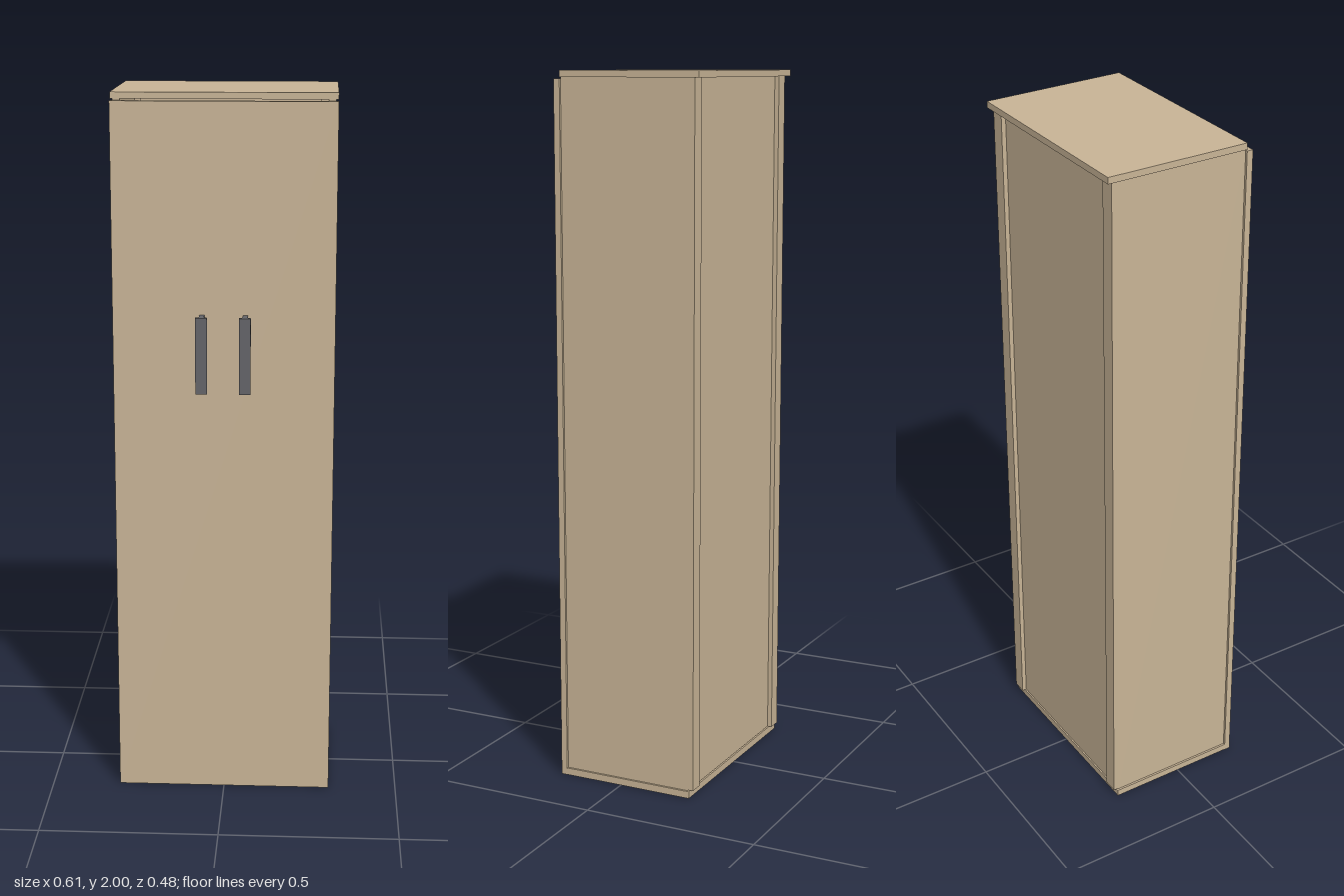
import * as THREE from 'three';

export function createModel() {
  const model = new THREE.Group();
  model.name = 'cabinet';
  const wood = new THREE.MeshStandardMaterial({ name: 'light wood', color: 0xc8b496 });
  const metal = new THREE.MeshStandardMaterial({ name: 'dark grey metal', color: 0x646468 });

  // Box given by its minimum and maximum on each axis
  const board = (name, [x0, x1], [y0, y1], [z0, z1]) => {
    const mesh = new THREE.Mesh(new THREE.BoxGeometry(x1 - x0, y1 - y0, z1 - z0), wood);
    mesh.position.set((x0 + x1) / 2, (y0 + y1) / 2, (z0 + z1) / 2);
    mesh.name = name;
    model.add(mesh);
  };

  // Carcass
  board('topBoard', [-0.305, 0.305], [1.982, 2], [-0.24, 0.175]);
  board('bottomBoard', [-0.304, 0.304], [0, 0.02], [-0.215, 0.175]);
  board('backPanel', [-0.26, 0.26], [0.022, 1.982], [-0.212, -0.202]);
  board('doorFront', [-0.305, 0.305], [0, 1.978], [0.175, 0.193]);

  // T-shaped handle section, extruded downwards
  const section = new THREE.Shape([
    [-0.007, 0.193], [0.007, 0.193], [0.007, 0.222], [0.016, 0.229],
    [0.016, 0.238], [-0.016, 0.238], [-0.016, 0.229], [-0.007, 0.222],
  ].map(([x, z]) => new THREE.Vector2(x, z)));
  const handleGeometry = new THREE.ExtrudeGeometry(section, { depth: 0.212, bevelEnabled: false });
  handleGeometry.rotateX(Math.PI / 2);

  // Mirrored sides, rear stiles and handles
  for (const [side, s] of [['left', 1], ['right', -1]]) {
    const span = (a, b) => (s > 0 ? [a, b] : [-b, -a]);
    board(side + 'SidePanel', span(0.278, 0.298), [0.02, 1.982], [-0.21, 0.175]);
    board(side + 'RearStile', span(0.256, 0.298), [0.022, 1.982], [-0.225, -0.21]);

    const handle = new THREE.Mesh(handleGeometry, metal);
    handle.name = side + 'Handle';
    handle.position.set(s * 0.0595, 1.402, 0);
    model.add(handle);
  }
  return model;
}
